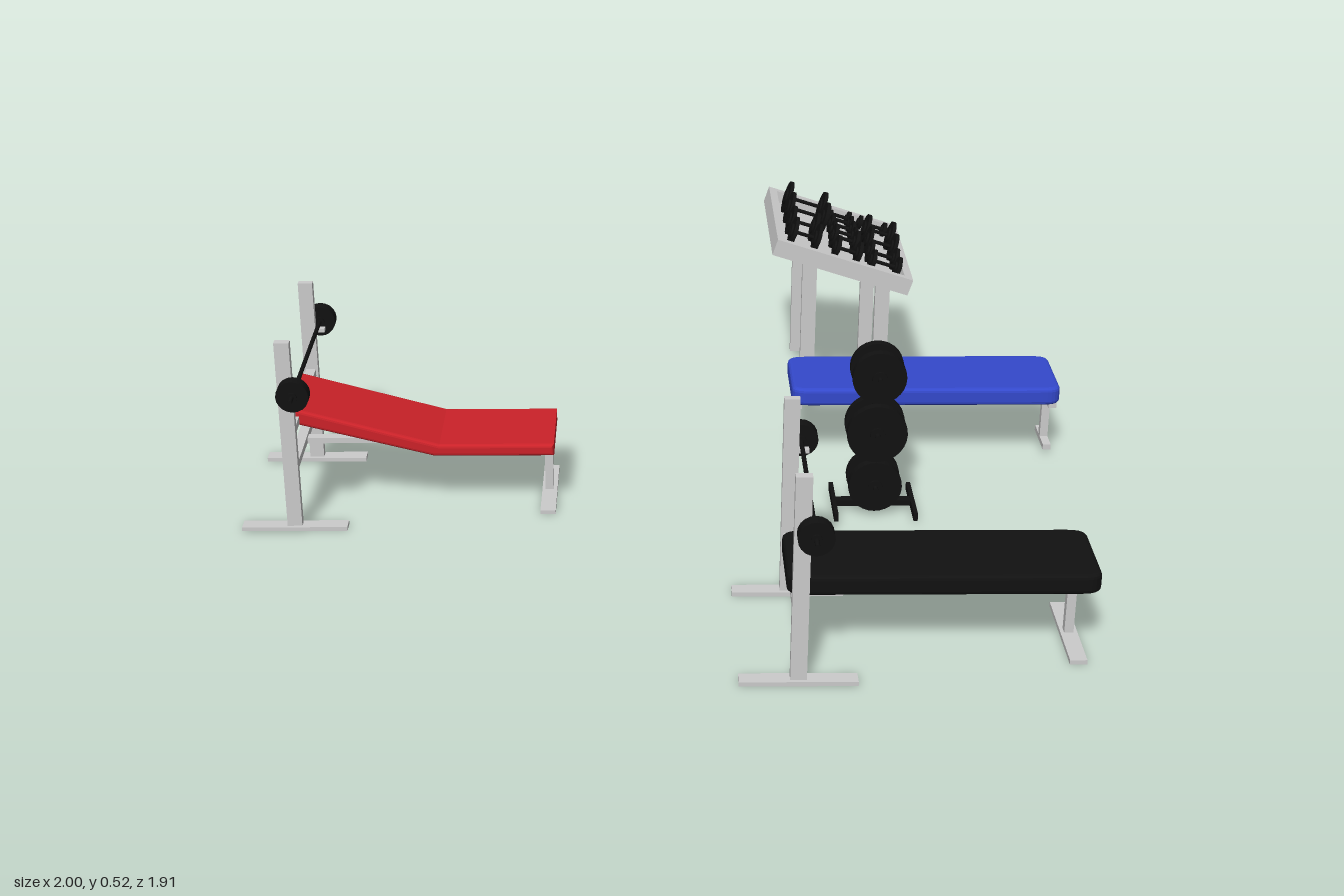
import * as THREE from 'three';

const mat = (color) => new THREE.MeshStandardMaterial({ color });
const METAL = mat(0xcccccc), BLACK = mat(0x111111), RED = mat(0xcc2229), BLUE = mat(0x3449cc);

function add(parent, name, geo, material, x = 0, y = 0, z = 0) {
  const m = new THREE.Mesh(geo, material);
  m.name = name;
  m.position.set(x, y, z);
  parent.add(m);
  return m;
}

// box given by its min and max on each axis
function bar(parent, name, [x0, x1], [y0, y1], [z0, z1], material = METAL) {
  return add(parent, name, new THREE.BoxGeometry(x1 - x0, y1 - y0, z1 - z0), material,
    (x0 + x1) / 2, (y0 + y1) / 2, (z0 + z1) / 2);
}

// cylinder lying along x or z
function disc(parent, name, axis, r, len, x, y, z, sides = 20) {
  const g = new THREE.CylinderGeometry(r, r, len, sides);
  if (axis === 'x') g.rotateZ(Math.PI / 2);
  else g.rotateX(Math.PI / 2);
  return add(parent, name, g, BLACK, x, y, z);
}

function group(parent, name, x = 0, y = 0, z = 0) {
  const g = new THREE.Group();
  g.name = name;
  g.position.set(x, y, z);
  parent.add(g);
  return g;
}

// flat pad with rounded corners and softened edges
function flatPad(parent, material, len, width, x, y, z, thick = 0.046) {
  const b = 0.01, r = 0.035, hx = len / 2 - b, hz = width / 2 - b;
  const s = new THREE.Shape();
  s.moveTo(-hx + r, -hz);
  s.lineTo(hx - r, -hz);
  s.quadraticCurveTo(hx, -hz, hx, -hz + r / 2);
  s.lineTo(hx, hz - r / 2);
  s.quadraticCurveTo(hx, hz, hx - r, hz);
  s.lineTo(-hx + r, hz);
  s.quadraticCurveTo(-hx, hz, -hx, hz - r / 2);
  s.lineTo(-hx, -hz + r / 2);
  s.quadraticCurveTo(-hx, -hz, -hx + r, -hz);
  const g = new THREE.ExtrudeGeometry(s, {
    depth: thick - 2 * b, bevelSize: b, bevelThickness: b, bevelSegments: 3, curveSegments: 6 });
  g.rotateX(-Math.PI / 2).translate(0, b, 0);
  return add(parent, 'pad', g, material, x, y, z);
}

// pad with a raised back, drawn as a side profile and extruded across
function inclinePad(parent, material, z) {
  const b = 0.008;
  const s = new THREE.Shape([
    [-0.012, 0.242], [0.33, 0.153], [0.607, 0.153], [0.607, 0.167], [0.34, 0.167], [-0.008, 0.264],
  ].map(([x, y]) => new THREE.Vector2(x, y)));
  const width = 0.217;
  const g = new THREE.ExtrudeGeometry(s, {
    depth: width - 2 * b, bevelSize: b, bevelThickness: b, bevelSegments: 3 });
  g.translate(0, 0, -width / 2 + b);
  return add(parent, 'inclinePad', g, material, 0, 0, z);
}

// uprights, feet, cross bars, barbell and rear leg; local x = 0 at the uprights
function pressFrame(parent, barHeights) {
  for (const s of [-1, 1]) {
    const z = s * 0.19;
    bar(parent, 'upright', [-0.0175, 0.0175], [0.01, 0.48], [z - 0.01, z + 0.01]);
    bar(parent, 'foot', [-0.125, 0.125], [0, 0.01], [z - 0.018, z + 0.018]);
    bar(parent, 'barHook', [0.015, 0.04], [0.35, 0.359], [z - 0.008, z + 0.008]);
  }
  for (const y of barHeights)
    bar(parent, 'crossBar', [-0.012, 0.012], [y - 0.009, y + 0.009], [-0.19, 0.19]);
  bar(parent, 'rail', [0, 0.608], [0.138, 0.152], [-0.012, 0.012]);
  bar(parent, 'rearLeg', [0.588, 0.608], [0.01, 0.15], [-0.01, 0.01]);
  bar(parent, 'rearFoot', [0.58, 0.617], [0, 0.01], [-0.125, 0.125]);
  const bell = group(parent, 'barbell', 0.024, 0.365, 0);
  disc(bell, 'barbellBar', 'z', 0.005, 0.556, 0, 0, 0, 10);
  for (const s of [-1, 1]) {
    disc(bell, 'barbellPlate', 'z', 0.038, 0.03, 0, 0, s * 0.232);
    disc(bell, 'barbellCollar', 'z', 0.012, 0.04, 0, 0, s * 0.232, 12);
  }
}

function plateTree(root) {
  const tree = group(root, 'plateTree', 0.505, 0, 0.062);
  bar(tree, 'baseBar', [-0.095, 0.095], [0.01, 0.024], [-0.012, 0.012], BLACK);
  for (const s of [-1, 1])
    bar(tree, 'baseFoot', [s * 0.095 - 0.005, s * 0.095 + 0.005], [0.006, 0.026], [-0.086, 0.086], BLACK);
  bar(tree, 'post', [-0.01, 0.01], [0.02, 0.4], [-0.01, 0.01], BLACK);
  for (const [y, r] of [[0.075, 0.064], [0.213, 0.072], [0.358, 0.064]]) {
    disc(tree, 'platePin', 'z', 0.006, 0.12, 0, y, 0, 10);
    for (const s of [-1, 1]) {
      disc(tree, 'weightPlate', 'z', r, 0.022, 0, y, s * 0.03, 28);
      disc(tree, 'plateHub', 'z', 0.018, 0.032, 0, y, s * 0.03, 14);
    }
  }
}

function dumbbellRack(root) {
  const rack = group(root, 'dumbbellRack', 0.47, 0, -0.742);
  const tilt = -0.31;
  for (const x of [-0.085, 0.108]) {
    const top = 0.388 + x * Math.tan(tilt);
    for (const z of [-0.187, 0.187])
      bar(rack, 'rackLeg', [x - 0.019, x + 0.019], [0, top], [z - 0.01, z + 0.01]);
  }
  // sloping tray with a raised rim
  const tray = group(rack, 'tray', 0, 0.4, 0);
  tray.rotation.z = tilt;
  bar(tray, 'trayFloor', [-0.18, 0.18], [-0.022, -0.008], [-0.212, 0.212]);
  for (const s of [-1, 1]) {
    bar(tray, 'trayEnd', [s * 0.176 - 0.011, s * 0.176 + 0.011], [-0.022, 0.022], [-0.217, 0.217]);
    bar(tray, 'traySide', [-0.17, 0.17], [-0.022, 0.022], [s * 0.207 - 0.01, s * 0.207 + 0.01]);
  }
  // dumbbells: [first head x, second head x, rows of [z, radius]]
  const columns = [
    [-0.143, -0.045, [[-0.125, 0.044], [-0.037, 0.044]]],
    [-0.143, -0.078, [[0.052, 0.04], [0.142, 0.04]]],
    [-0.015, 0.045, [[-0.175, 0.02], [-0.125, 0.023], [-0.07, 0.025], [-0.015, 0.026]]],
    [-0.02, 0.04, [[0.055, 0.033], [0.142, 0.033]]],
    [0.08, 0.15, [[-0.175, 0.02], [-0.07, 0.04], [0.015, 0.038], [0.085, 0.03], [0.152, 0.03]]],
  ];
  for (const [xa, xb, rows] of columns)
    for (const [z, r] of rows) {
      const bell = group(tray, 'dumbbell', 0, r - 0.008, z);
      disc(bell, 'handle', 'x', 0.005, xb - xa + 0.02, (xa + xb) / 2, 0, 0, 8);
      for (const x of [xa, xb]) {
        disc(bell, 'dumbbellHead', 'x', r, 0.009, x, 0, 0, 18);
        disc(bell, 'dumbbellHub', 'x', r * 0.5, 0.018, x, 0, 0, 12);
      }
    }
}

export function createModel() {
  const root = new THREE.Group();
  root.name = 'gymEquipment';

  const incline = group(root, 'inclineBench', -0.88, 0, -0.032);
  pressFrame(incline, [0.15, 0.243]);
  inclinePad(incline, RED, -0.004);

  const flat = group(root, 'flatPressBench', 0.272, 0, 0.672);
  pressFrame(flat, [0.147]);
  flatPad(flat, BLACK, 0.663, 0.217, 0.31, 0.155, -0.004);

  // plain bench on two T-shaped legs
  const plain = group(root, 'plainBench', 0.659, 0, -0.3);
  flatPad(plain, BLUE, 0.674, 0.22, 0, 0.155, 0);
  bar(plain, 'rail', [-0.32, 0.32], [0.14, 0.156], [-0.012, 0.012]);
  for (const s of [-1, 1]) {
    const x = s * 0.321;
    bar(plain, 'leg', [x - 0.01, x + 0.01], [0.02, 0.155], [-0.01, 0.01]);
    bar(plain, 'foot', [x - 0.01, x + 0.01], [0.01, 0.024], [-0.06, 0.06]);
    bar(plain, 'padSupport', [x - 0.01, x + 0.01], [0.14, 0.156], [-0.09, 0.09]);
  }

  plateTree(root);
  dumbbellRack(root);
  return root;
}
